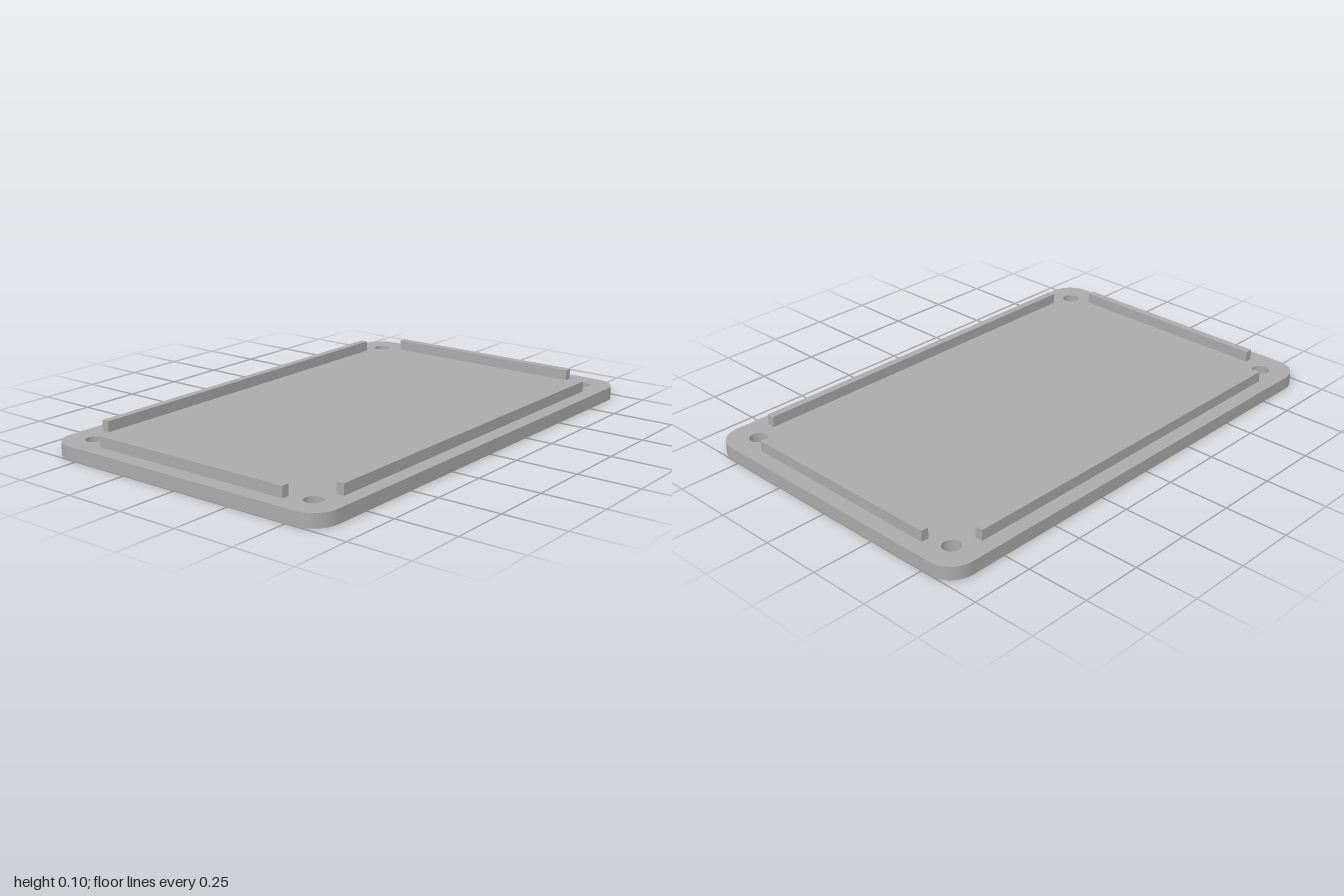
import * as THREE from 'three';
import { toCreasedNormals } from 'three/addons/utils/BufferGeometryUtils.js';

const HALF_X = 1, HALF_Z = 0.638, CORNER = 0.1;
const THICK = 0.053, TOP = 0.096;
const HOLE_X = 0.884, HOLE_Z = 0.523, HOLE_R = 0.035;
const RIB_W = 0.031;

export function createModel() {
  const group = new THREE.Group();
  group.name = 'enclosureLid';
  const grey = new THREE.MeshStandardMaterial({ color: 0xaaaaaa });
  grey.name = 'grey plastic';

  const add = (name, geometry, x = 0, y = 0, z = 0) => {
    const mesh = new THREE.Mesh(geometry, grey);
    mesh.name = name;
    mesh.position.set(x, y, z);
    group.add(mesh);
  };

  // Plate outline with rounded corners
  const outline = new THREE.Shape();
  const cx = HALF_X - CORNER, cz = HALF_Z - CORNER;
  [[cx, cz], [-cx, cz], [-cx, -cz], [cx, -cz]].forEach(([x, z], i) =>
    outline.absarc(x, z, CORNER, i * Math.PI / 2, (i + 1) * Math.PI / 2, false));
  outline.closePath();

  // Screw holes, one in each corner
  for (const sx of [-1, 1]) for (const sz of [-1, 1]) {
    const hole = new THREE.Path();
    hole.absarc(sx * HOLE_X, sz * HOLE_Z, HOLE_R, 0, Math.PI * 2, true);
    outline.holes.push(hole);
  }
  const plate = new THREE.ExtrudeGeometry(outline, { depth: THICK, bevelEnabled: false, curveSegments: 16 });
  plate.rotateX(-Math.PI / 2);
  add('plate', toCreasedNormals(plate, Math.PI / 5));

  // Locating ribs along the four edges
  const ribH = TOP - THICK, ribY = (TOP + THICK) / 2;
  const longRib = new THREE.BoxGeometry(1.59, ribH, RIB_W);
  const shortRib = new THREE.BoxGeometry(RIB_W, ribH, 0.87);
  add('frontRib', longRib, 0, ribY, 0.562);
  add('backRib', longRib, 0, ribY, -0.562);
  add('leftRib', shortRib, 0.922, ribY, 0);
  add('rightRib', shortRib, -0.922, ribY, 0);

  return group;
}
